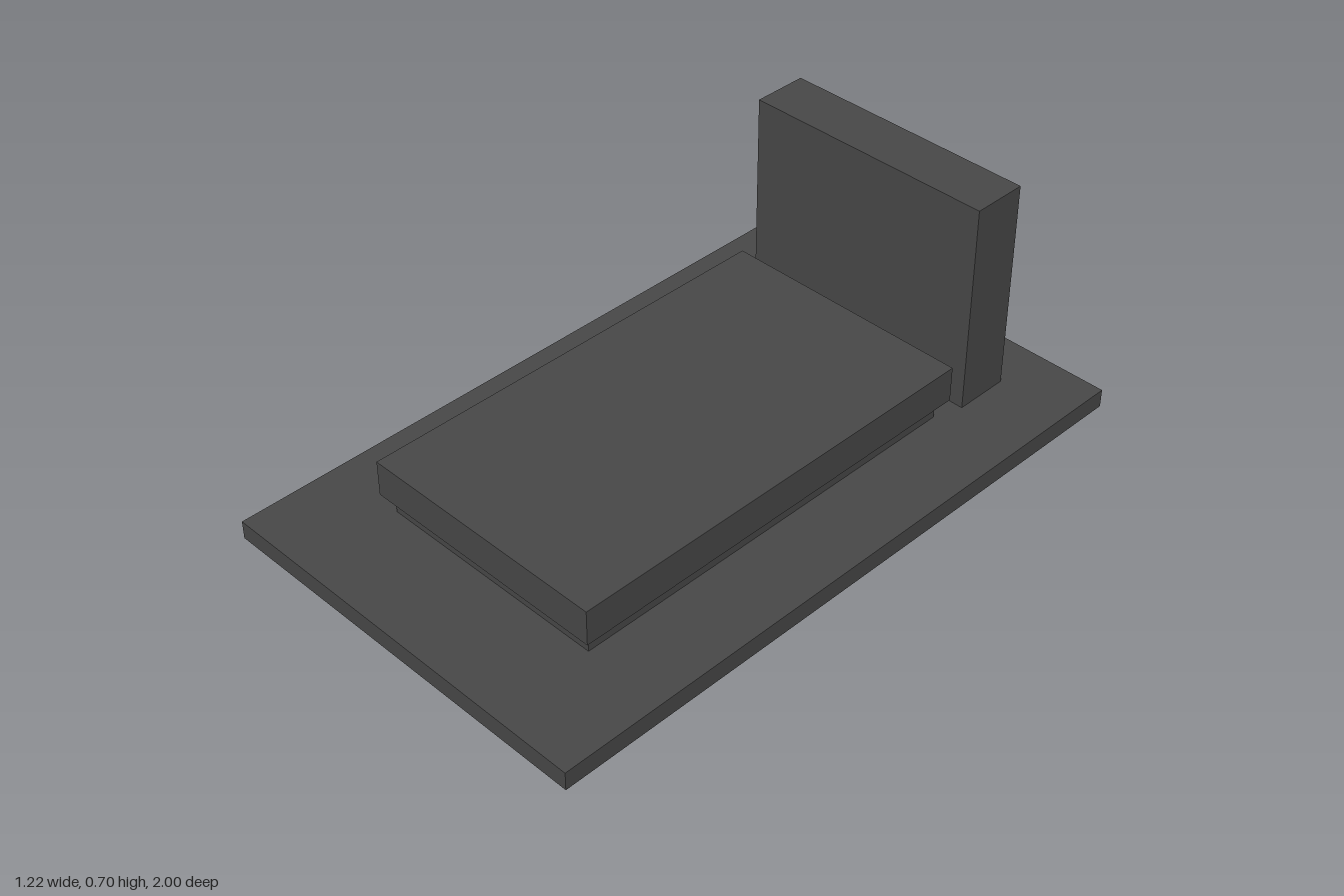
import * as THREE from 'three';

export function createModel() {
  const group = new THREE.Group();
  const stone = new THREE.MeshStandardMaterial({ color: 0x484848 });
  stone.name = 'darkStone';

  // Block centred on x, given its half width and its y and z ranges
  function block(name, halfWidth, y0, y1, z0, z1) {
    const mesh = new THREE.Mesh(new THREE.BoxGeometry(halfWidth * 2, y1 - y0, z1 - z0), stone);
    mesh.position.set(0, (y0 + y1) / 2, (z0 + z1) / 2);
    mesh.name = name;
    group.add(mesh);
  }

  block('base', 0.611, 0, 0.056, -1, 1);
  block('plinth', 0.361, 0.056, 0.114, -0.582, 0.694);
  block('coverSlab', 0.389, 0.114, 0.222, -0.611, 0.722);
  block('headstone', 0.389, 0.056, 0.696, -0.834, -0.667);

  return group;
}
